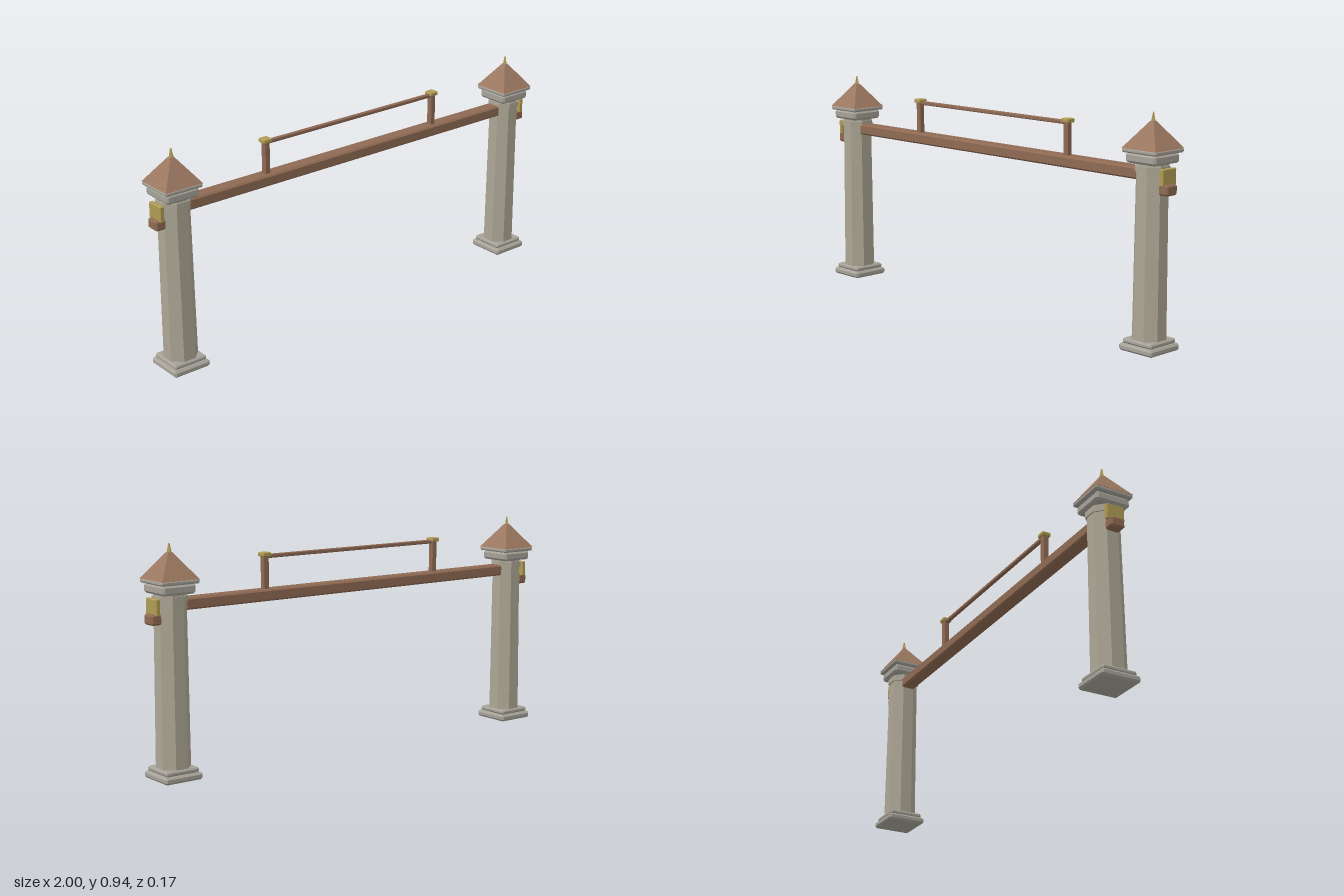
import * as THREE from 'three';
import { ConvexGeometry } from 'three/addons/geometries/ConvexGeometry.js';

const mat = (name, color) => {
  const m = new THREE.MeshStandardMaterial({ color });
  m.name = name;
  return m;
};

// Box with every edge chamfered by c
function chamferBox(w, h, d, c) {
  const pts = [];
  for (const x of [-1, 1]) for (const y of [-1, 1]) for (const z of [-1, 1]) {
    for (let k = 0; k < 3; k++) {
      const inset = [c, c, c];
      inset[k] = 0;
      pts.push(new THREE.Vector3(
        x * (w / 2 - inset[0]), y * (h / 2 - inset[1]), z * (d / 2 - inset[2])));
    }
  }
  return new ConvexGeometry(pts);
}

// Faceted prism whose flat sides face the axes; r values are half widths across flats
function prism(sides, rTop, rBottom, h) {
  const k = 1 / Math.cos(Math.PI / sides);
  const g = new THREE.CylinderGeometry(rTop * k, rBottom * k, h, sides).rotateY(Math.PI / sides).toNonIndexed();
  g.computeVertexNormals();
  return g;
}

export function createModel() {
  const stone = mat('stone', 0xaca694);
  const trim = mat('stone trim', 0xa6a298);
  const roofBrown = mat('roof brown', 0x9c7860);
  const wood = mat('wood', 0x8f6a53);
  const gold = mat('gold', 0xb09c54);

  const root = new THREE.Group();
  root.name = 'gateway';
  const add = (parent, name, geo, material, x, y, z = 0) => {
    const m = new THREE.Mesh(geo, material);
    m.name = name;
    m.position.set(x, y, z);
    parent.add(m);
    return m;
  };
  // Chamfered block given by its bottom and top heights
  const block = (parent, name, material, x, y0, y1, w, d, c) =>
    add(parent, name, chamferBox(w, y1 - y0, d, c), material, x, (y0 + y1) / 2);

  for (const s of [-1, 1]) {
    const pillar = new THREE.Group();
    pillar.name = s > 0 ? 'leftPillar' : 'rightPillar';
    pillar.position.x = s * 0.898;
    root.add(pillar);

    // Stepped foot, tapering octagonal shaft and collar
    block(pillar, 'footSlab', trim, 0, 0, 0.029, 0.171, 0.171, 0.008);
    block(pillar, 'footStep', trim, 0, 0.029, 0.049, 0.15, 0.15, 0.006);
    add(pillar, 'shaft', prism(8, 0.06, 0.065, 0.702), stone, 0, 0.396);
    add(pillar, 'collar', prism(8, 0.066, 0.066, 0.024), stone, 0, 0.722);

    // Capital and eave
    block(pillar, 'capital', trim, 0, 0.742, 0.782, 0.151, 0.151, 0.009);
    block(pillar, 'eave', trim, 0, 0.782, 0.8, 0.171, 0.171, 0.005);

    // Pyramid roof with a small spike
    add(pillar, 'roof', prism(4, 0.008, 0.085, 0.105), roofBrown, 0, 0.8505);
    const spike = new THREE.CylinderGeometry(0.003, 0.012, 0.04, 4).toNonIndexed();
    spike.computeVertexNormals();
    add(pillar, 'spike', spike, gold, 0, 0.917);

    // Outer bracket with a plate standing on it
    block(pillar, 'bracket', wood, s * 0.078, 0.625, 0.668, 0.048, 0.062, 0.007);
    block(pillar, 'bracketPlate', gold, s * 0.077, 0.662, 0.728, 0.019, 0.08, 0.003);

    // Railing post and its cap
    block(root, 'railPost', wood, s * 0.45, 0.715, 0.856, 0.026, 0.026, 0.003);
    block(root, 'railPostCap', gold, s * 0.45, 0.853, 0.87, 0.041, 0.041, 0.003);
  }

  // Crossbeam and top rail
  block(root, 'crossbeam', wood, 0, 0.673, 0.721, 1.69, 0.064, 0.007);
  block(root, 'topRail', wood, 0, 0.845, 0.861, 0.89, 0.018, 0.003);

  return root;
}
